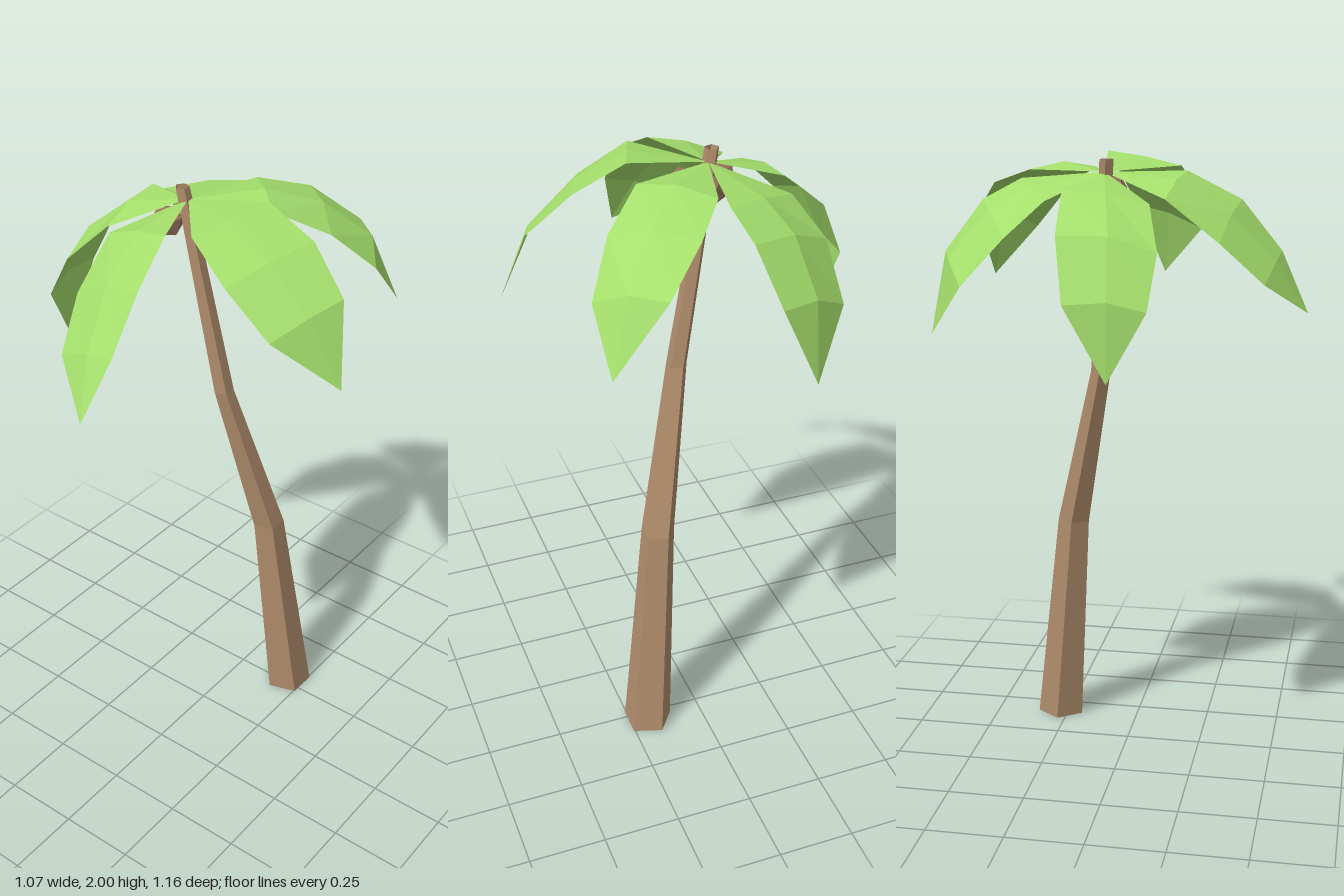
import * as THREE from 'three';

const leafGreen = new THREE.MeshStandardMaterial({ color: 0xa5df6c, flatShading: true, side: THREE.DoubleSide });
const barkBrown = new THREE.MeshStandardMaterial({ color: 0xb08d6c, flatShading: true, side: THREE.DoubleSide });
const nutBrown = new THREE.MeshStandardMaterial({ color: 0x96745e, flatShading: true });

// Bent, tapering five-sided open trunk: a unit cylinder whose rings follow a path
function makeTrunk() {
  // x, y, z, radius from the ground up
  const rings = [
    [0.187, 0, -0.276, 0.083],
    [0.12, 0.75, -0.208, 0.056],
    [0.012, 1.3, -0.09, 0.034],
    [-0.115, 1.99, -0.045, 0.023],
  ];
  const geo = new THREE.CylinderGeometry(1, 1, 3, 5, 3, true, -Math.PI / 2);
  const p = geo.attributes.position;
  for (let i = 0; i < p.count; i++) {
    const [x, y, z, r] = rings[Math.round(p.getY(i) + 1.5)];
    p.setXYZ(i, x + p.getX(i) * r, y, z + p.getZ(i) * r);
  }
  geo.computeVertexNormals();
  const mesh = new THREE.Mesh(geo, barkBrown);
  mesh.name = 'trunk';
  return mesh;
}

// Folded leaf: root point, three rows of [edge, midrib, edge], then the tip
function makeLeaf(name, root, rows, tip) {
  const full = [[root, root, root], ...rows, [tip, tip, tip]];
  const pts = [];
  for (let r = 0; r < full.length - 1; r++) {
    for (let c = 0; c < 2; c++) {
      const a = full[r][c], b = full[r][c + 1];
      const d = full[r + 1][c], e = full[r + 1][c + 1];
      if (d !== e) pts.push(...a, ...e, ...d);
      if (a !== b) pts.push(...a, ...b, ...e);
    }
  }
  const geo = new THREE.BufferGeometry();
  geo.setAttribute('position', new THREE.Float32BufferAttribute(pts, 3));
  geo.computeVertexNormals();
  const mesh = new THREE.Mesh(geo, leafGreen);
  mesh.name = name;
  return mesh;
}

export function createModel() {
  const tree = new THREE.Group();
  tree.name = 'palmTree';
  tree.add(makeTrunk());

  // Crown of five drooping leaves
  const crown = new THREE.Group();
  crown.name = 'crown';
  const root = [-0.1, 1.95, -0.055];
  crown.add(makeLeaf('leftLeaf', root, [
    [[0.08, 1.96, 0.16], [0.125, 1.985, 0.035], [0.17, 2.0, -0.095]],
    [[0.23, 1.86, 0.2], [0.285, 1.905, 0.06], [0.335, 1.925, -0.09]],
    [[0.38, 1.73, 0.19], [0.43, 1.775, 0.07], [0.47, 1.8, -0.05]],
  ], [0.535, 1.56, 0.04]));
  crown.add(makeLeaf('backLeftLeaf', root, [
    [[0.155, 1.95, -0.135], [0.065, 1.97, -0.22], [-0.03, 1.95, -0.31]],
    [[0.285, 1.865, -0.26], [0.185, 1.91, -0.36], [0.075, 1.9, -0.455]],
    [[0.375, 1.73, -0.385], [0.3, 1.785, -0.475], [0.205, 1.785, -0.555]],
  ], [0.37, 1.56, -0.54]));
  crown.add(makeLeaf('backRightLeaf', root, [
    [[-0.06, 1.925, -0.33], [-0.19, 1.91, -0.27], [-0.31, 1.875, -0.2]],
    [[-0.085, 1.86, -0.45], [-0.235, 1.84, -0.39], [-0.375, 1.77, -0.31]],
    [[-0.13, 1.7, -0.565], [-0.255, 1.69, -0.52], [-0.375, 1.62, -0.45]],
  ], [-0.24, 1.45, -0.585]));
  crown.add(makeLeaf('rightLeaf', root, [
    [[-0.31, 1.91, -0.145], [-0.3, 1.905, -0.015], [-0.28, 1.87, 0.115]],
    [[-0.45, 1.79, -0.135], [-0.44, 1.79, 0.02], [-0.41, 1.74, 0.16]],
    [[-0.535, 1.6, -0.1], [-0.53, 1.61, 0.03], [-0.505, 1.58, 0.145]],
  ], [-0.535, 1.37, 0.03]));
  crown.add(makeLeaf('frontLeaf', root, [
    [[-0.235, 1.88, 0.155], [-0.11, 1.93, 0.172], [0.005, 1.95, 0.19]],
    [[-0.225, 1.75, 0.32], [-0.09, 1.825, 0.34], [0.045, 1.86, 0.36]],
    [[-0.175, 1.62, 0.455], [-0.05, 1.68, 0.48], [0.05, 1.7, 0.49]],
  ], [0, 1.51, 0.58]));
  tree.add(crown);

  // Nuts clustered round the trunk under the leaves
  const nuts = [[-0.075, 1.89, -0.122], [-0.15, 1.88, -0.015], [-0.02, 1.885, -0.045]];
  nuts.forEach(([x, y, z], i) => {
    const nut = new THREE.Mesh(new THREE.IcosahedronGeometry(0.054), nutBrown);
    nut.name = 'nut' + (i + 1);
    nut.position.set(x, y, z);
    nut.rotation.set(0.4 * i, 0.9 * i, 0.3);
    tree.add(nut);
  });
  return tree;
}
